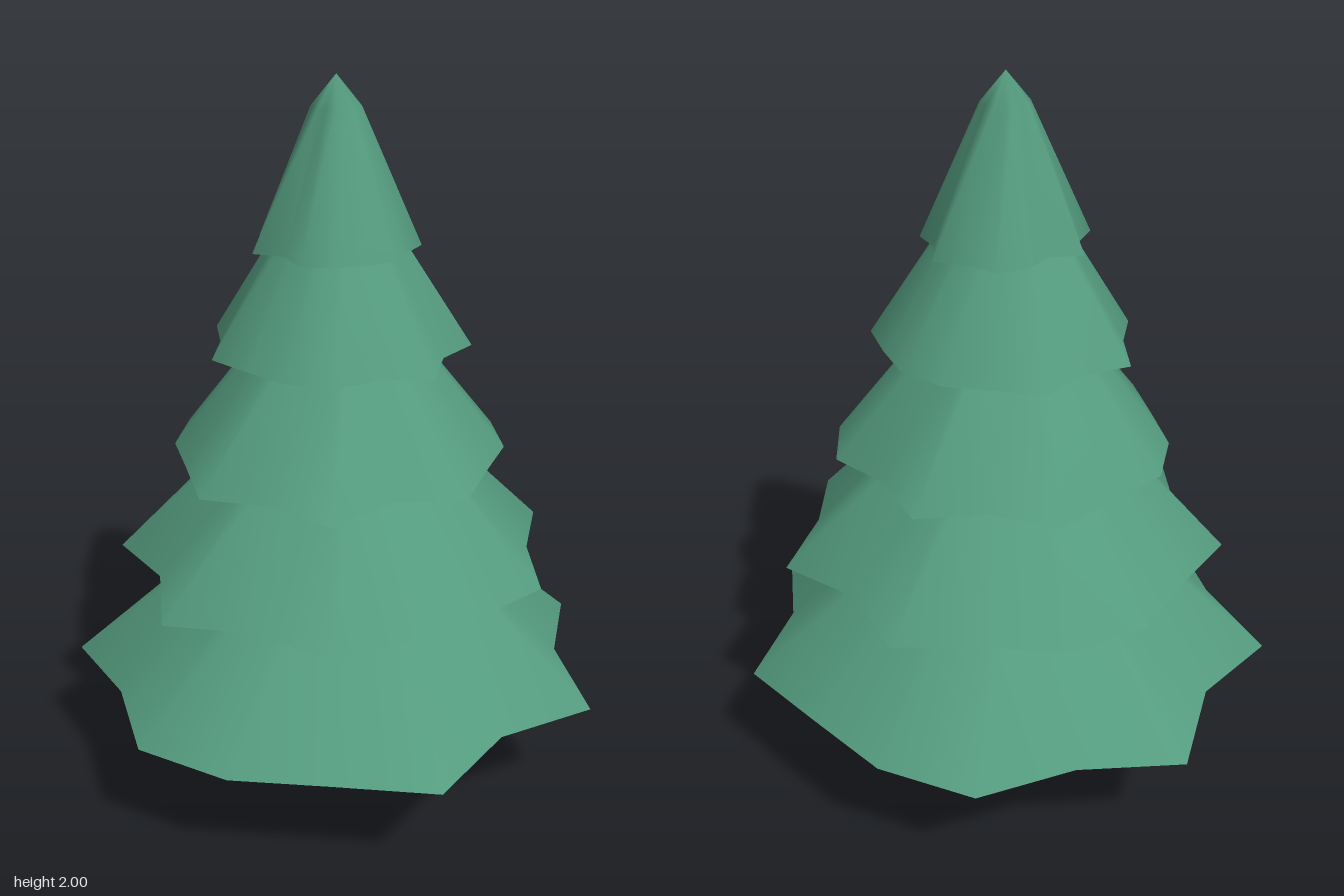
import * as THREE from 'three';

const mat = (name, color, side = THREE.FrontSide) => {
  const m = new THREE.MeshStandardMaterial({ color, side });
  m.name = name;
  return m;
};

function makeGeometry(pos, index) {
  const g = new THREE.BufferGeometry();
  g.setAttribute('position', new THREE.Float32BufferAttribute(pos, 3));
  g.setIndex(index);
  g.computeVertexNormals();
  return g;
}

// One skirt of branches: ragged rim, narrow neck, pointed cap and shallow hollow underside.
// Rim radii are in hundredths, counter-clockwise from +x as seen from above.
function tierGeometry({ y, rim, neckY, neckR, tipY, hollow }) {
  const n = rim.length, pos = [], index = [];
  const mean = rim.reduce((a, b) => a + b, 0) / n / 100;
  const ring = (radius, height) => {
    for (let i = 0; i < n; i++) {
      const a = (i / n) * Math.PI * 2;
      pos.push(Math.cos(a) * radius(i), height(i), -Math.sin(a) * radius(i));
    }
  };
  const rimR = i => rim[i] / 100;
  const rimY = i => y - 0.1 * (rimR(i) - mean); // long tips droop
  ring(rimR, rimY);
  ring(() => neckR, () => neckY);
  ring(rimR, rimY); // separate rim for the underside keeps the edge sharp
  const tip = pos.length / 3, centre = tip + 1;
  pos.push(0, tipY, 0, 0, y + hollow, 0);
  for (let i = 0; i < n; i++) {
    const j = (i + 1) % n;
    index.push(i, j, n + j, i, n + j, n + i);
    index.push(n + i, n + j, tip);
    index.push(2 * n + j, 2 * n + i, centre);
  }
  return makeGeometry(pos, index);
}

// Tapering blade that bends along its lean direction
function bladeGeometry(height, width, lean, facing) {
  const pos = [], index = [], steps = 4;
  for (let k = 0; k <= steps; k++) {
    const t = k / steps, w = (width / 2) * (1 - t * t) + 0.0005;
    const b = lean * t * t;
    for (const s of [-1, 1]) {
      pos.push(s * w * Math.cos(facing) + b * Math.sin(facing), height * t,
        -s * w * Math.sin(facing) + b * Math.cos(facing));
    }
    if (k < steps) {
      const a = k * 2;
      index.push(a, a + 1, a + 3, a, a + 3, a + 2);
    }
  }
  return makeGeometry(pos, index);
}

export function createModel() {
  const model = new THREE.Group();
  model.name = 'pineTree';
  const needles = mat('needle green', 0x549b7f);
  const bark = mat('bark brown', 0x774f3c);
  const red = mat('mushroom red', 0xcf5c4e);
  const grass = mat('grass green', 0x74a344, THREE.DoubleSide);

  const add = (parent, name, geometry, material, x = 0, y = 0, z = 0) => {
    const m = new THREE.Mesh(geometry, material);
    m.name = name;
    m.position.set(x, y, z);
    parent.add(m);
    return m;
  };

  // Trunk and branch tiers share one axis
  const tree = new THREE.Group();
  tree.name = 'tree';
  tree.position.x = -0.035;
  model.add(tree);
  add(tree, 'trunk', new THREE.CylinderGeometry(0.075, 0.105, 0.44, 20), bark, 0, 0.225, 0);

  const tiers = [
    { y: 0.33, neckY: 0.83, neckR: 0.19, tipY: 0.92, hollow: 0.08,
      rim: [76.3, 63.4, 74.2, 66.9, 69.7, 72.5, 65, 75.8, 63.8, 75.8, 65, 72.5, 69.7, 66.9, 74.2, 63.4] },
    { y: 0.67, neckY: 1.14, neckR: 0.16, tipY: 1.22, hollow: 0.08,
      rim: [60.3, 53.7, 62.6, 52.1, 61.4, 55, 59, 58.6, 54.8, 61.6, 52, 62.7, 53.2, 60.5, 55.9, 55] },
    { y: 0.985, neckY: 1.42, neckR: 0.125, tipY: 1.5, hollow: 0.07,
      rim: [43.5, 46, 47, 41.2, 48.9, 42, 49.2, 44, 46.5, 45, 43.2, 48.8, 42.7, 49.7, 40, 48.3] },
    { y: 1.285, neckY: 1.7, neckR: 0.095, tipY: 1.77, hollow: 0.06,
      rim: [30.5, 36.1, 33, 33.9, 33.3, 32, 35.4, 30.5, 36.6, 31.4, 35, 32, 32.9, 33.9, 30.5, 36.1] },
    { y: 1.56, neckY: 1.92, neckR: 0.065, tipY: 2, hollow: 0.05,
      rim: [20, 22.2, 19, 23.5, 20, 22.4, 20.5, 17, 22.6, 19, 23.2, 18.3, 22.3, 21, 21, 22] },
  ];
  tiers.forEach((t, i) => add(tree, `branchTier${i + 1}`, tierGeometry(t), needles));

  // Mushroom beside the trunk
  const mushroom = new THREE.Group();
  mushroom.name = 'mushroom';
  mushroom.position.set(-0.165, 0, 0.115);
  model.add(mushroom);
  add(mushroom, 'mushroomStem', new THREE.CylinderGeometry(0.018, 0.022, 0.085, 12), needles, 0, 0.0425, 0);
  const cap = [[0, 0.08], [0.035, 0.075], [0.05, 0.075], [0.054, 0.083], [0.048, 0.098],
    [0.034, 0.112], [0.017, 0.119], [0, 0.121]].map(p => new THREE.Vector2(...p));
  add(mushroom, 'mushroomCap', new THREE.LatheGeometry(cap, 16), red);

  // Tuft of grass: height, width, lean, facing, x, z
  const tuft = new THREE.Group();
  tuft.name = 'grassTuft';
  model.add(tuft);
  [
    [0.11, 0.016, 0.012, 0.4, 0.058, 0.125],
    [0.085, 0.016, -0.014, 0.9, 0.052, 0.135],
    [0.11, 0.016, 0.025, 1.45, 0.074, 0.12],
    [0.075, 0.014, 0.02, 1.2, 0.066, 0.107],
  ].forEach(([h, w, lean, facing, x, z], i) =>
    add(tuft, `grassBlade${i + 1}`, bladeGeometry(h, w, lean, facing), grass, x, 0, z));

  return model;
}
